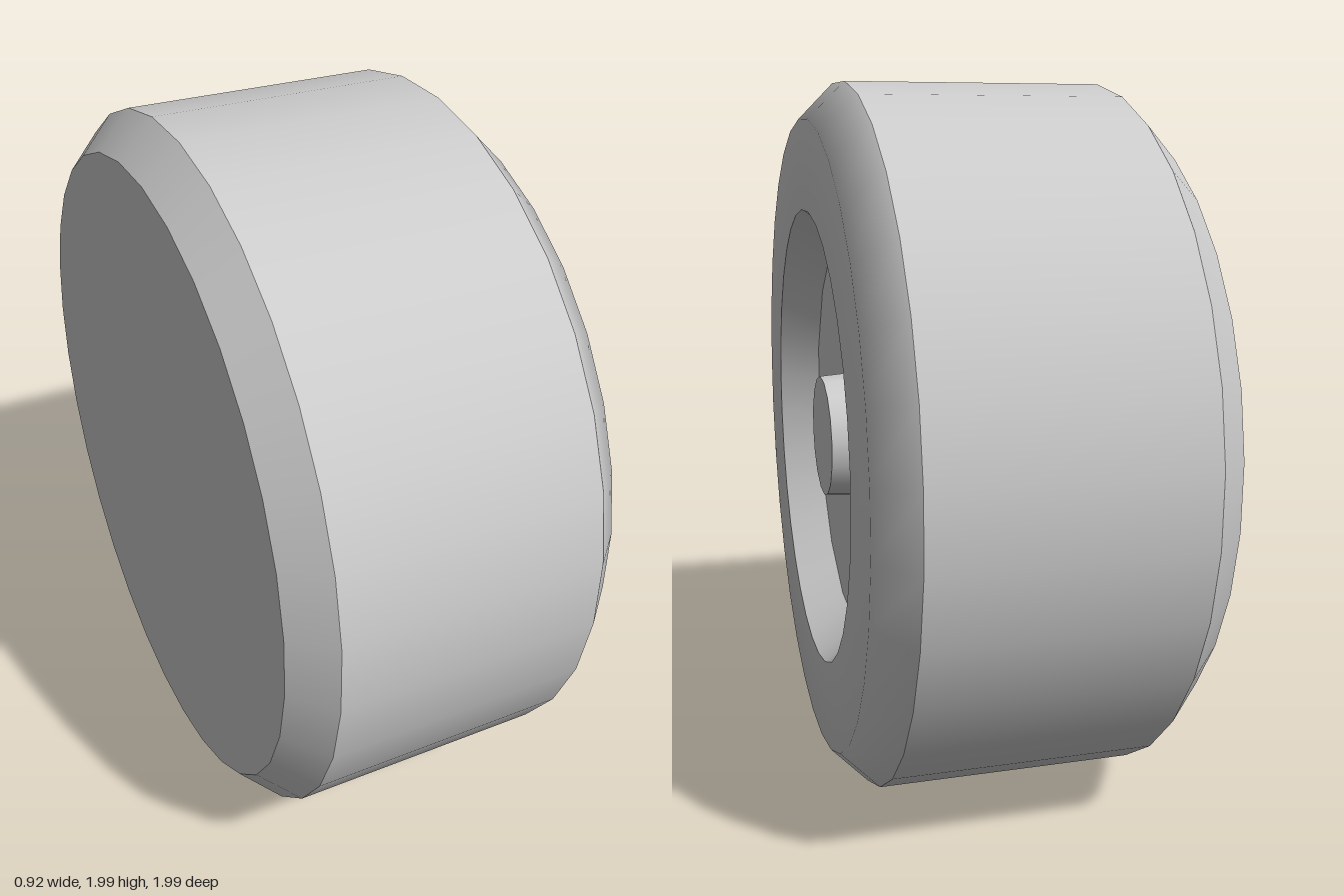
import * as THREE from 'three';

const PHASE = 0.084; // small roll of the wheel about its axle

// Revolve [radius, x] points around the x axis
function revolve(name, profile, sides, adjust) {
  const geo = new THREE.LatheGeometry(profile.map(([r, x]) => new THREE.Vector2(r, x)), sides);
  if (adjust) adjust(geo.attributes.position);
  geo.rotateZ(-Math.PI / 2).rotateX(PHASE);
  const mesh = new THREE.Mesh(geo, new THREE.MeshStandardMaterial({ color: 0xcccccc }));
  mesh.name = name;
  return mesh;
}

export function createModel() {
  const wheel = new THREE.Group();
  wheel.name = 'wheel';

  const half = 0.46, shoulder = 0.36, floorX = 0.345, floorR = 0.577, capX = 0.425;

  // Tyre: closed flat back, bevel, tread, and a softly shaded outer side
  wheel.add(
    revolve('tyreBack', [[0, -half], [0.9, -half]], 32),
    revolve('backBevel', [[0.9, -half], [1, -shoulder]], 32),
    revolve('tread', [[1, -shoulder], [1, shoulder]], 32),
    revolve('tyreSidewall', [[1, shoulder], [0.9, half], [0.65, half]], 32)
  );

  // Sloping rim wall: 32 sides at the mouth, meeting a 16-sided floor
  wheel.add(revolve('rimWall', [[0.65, half], [floorR, floorX]], 32, (pos) => {
    const k = Math.cos(Math.PI / 16);
    for (let i = 0; i <= 32; i++) {
      const v = i * 2 + 1; // floor end of each column
      if (i % 2) pos.setXYZ(v, pos.getX(v) * k, pos.getY(v), pos.getZ(v) * k);
    }
  }));
  wheel.add(revolve('rimFloor', [[floorR, floorX], [0, floorX]], 16));

  // Hub cap, slightly tapered
  wheel.add(
    revolve('hubCapSide', [[0.18, floorX], [0.174, capX]], 16),
    revolve('hubCapFace', [[0.174, capX], [0, capX]], 16)
  );

  wheel.position.y = 1;
  const model = new THREE.Group();
  model.add(wheel);
  return model;
}
